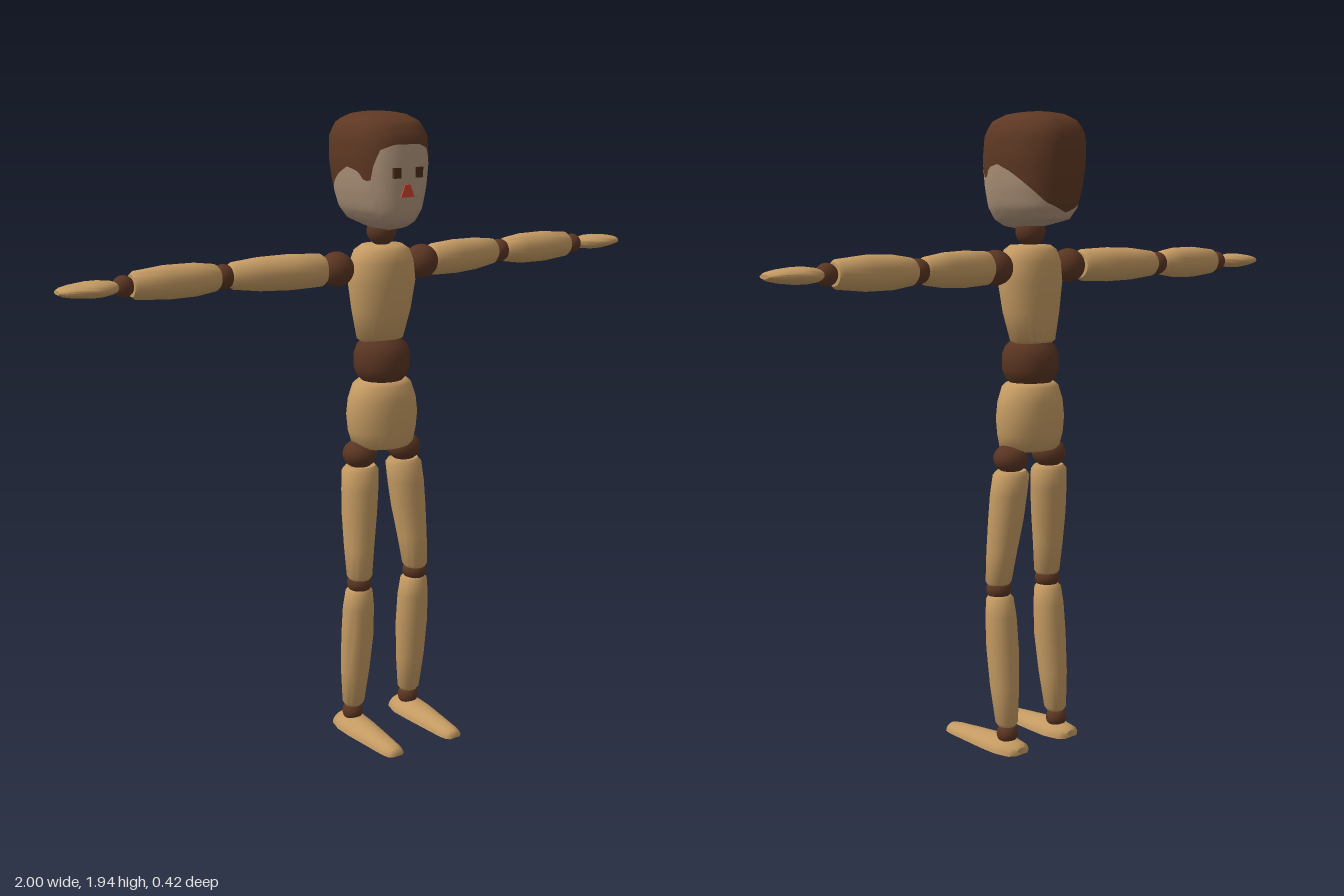
import * as THREE from 'three';
import { toCreasedNormals } from 'three/addons/utils/BufferGeometryUtils.js';

const paint = (name, color) => {
  const m = new THREE.MeshStandardMaterial({ color });
  m.name = name;
  return m;
};

function addMesh(parent, name, geometry, material) {
  const mesh = new THREE.Mesh(geometry, material);
  mesh.name = name;
  parent.add(mesh);
  return mesh;
}

// Triangles between closed rings of n points each
function ringFaces(rows, n) {
  const index = [];
  for (let i = 0; i < rows - 1; i++) for (let j = 0; j < n; j++) {
    const a = i * n + j, b = i * n + (j + 1) % n;
    index.push(a, a + n, b, b, a + n, b + n);
  }
  return index;
}

function toGeometry(points, index) {
  const g = new THREE.BufferGeometry();
  g.setAttribute('position', new THREE.Float32BufferAttribute(points, 3));
  g.setIndex(index);
  return g;
}

// Elliptical loft; rings are [cx, cy, cz, radius1, radius2], ascending along the axis.
// Radii run along x,z (axis y), z,y (axis x) or y,x (axis z).
function loft(axis, rings, floor = -1) {
  const n = 24, points = [];
  const [e1, e2] = { y: [0, 2], x: [2, 1], z: [1, 0] }[axis];
  const push = (p) => points.push(p[0], Math.max(p[1], floor), p[2]);
  for (const [x, y, z, r1, r2 = r1] of rings) for (let j = 0; j < n; j++) {
    const a = j / n * Math.PI * 2, p = [x, y, z];
    p[e1] += r1 * Math.cos(a);
    p[e2] += r2 * Math.sin(a);
    push(p);
  }
  const index = ringFaces(rings.length, n), last = (rings.length - 1) * n, c = rings.length * n;
  push(rings[0]);
  push(rings[rings.length - 1]);
  for (let j = 0; j < n; j++) {
    const k = (j + 1) % n;
    index.push(c, j, k, c + 1, last + k, last + j);
  }
  return toCreasedNormals(toGeometry(points, index), 0.8);
}

// Piecewise linear lookup of a value in rows of [key, value...]
function lookup(table, key, column = 1) {
  let i = 0;
  while (i < table.length - 2 && key > table[i + 1][0]) i++;
  const [a, b] = [table[i], table[i + 1]];
  return THREE.MathUtils.mapLinear(key, a[0], b[0], a[column], b[column]);
}

// Head: skin up to a hairline that varies around the skull, hair above it
function headGeometry() {
  // height, half width, front z, back z
  const profile = [
    [1.595, 0, 0, 0], [1.605, 0.05, 0.05, -0.08], [1.625, 0.075, 0.085, -0.175],
    [1.66, 0.1, 0.097, -0.195], [1.72, 0.118, 0.1, -0.205], [1.8, 0.13, 0.1, -0.212],
    [1.87, 0.128, 0.092, -0.21], [1.91, 0.11, 0.07, -0.188], [1.93, 0.075, 0.03, -0.15],
    [1.937, 0.04, -0.01, -0.11], [1.94, 0, -0.055, -0.055],
  ];
  // angle away from the front, height
  const hairline = [
    [0, 1.85], [0.25, 1.85], [0.6, 1.835], [0.78, 1.79], [0.88, 1.75], [1.05, 1.745],
    [1.2, 1.775], [1.47, 1.785], [2.5, 1.675], [Math.PI, 1.645],
  ];
  const heights = profile.map((p, i) => [p[0], i]), steps = profile.map((p, i) => [i, p[0]]);
  const n = 64, half = 14, top = profile.length - 1, points = [];
  const round = (v) => Math.sign(v) * Math.abs(v) ** 0.8;
  for (let i = 0; i <= 2 * half; i++) for (let j = 0; j < n; j++) {
    const a = j / n * Math.PI * 2;
    const edge = lookup(heights, lookup(hairline, Math.acos(Math.sin(a))));
    const s = i <= half ? edge * i / half : edge + (top - edge) * (i - half) / half;
    const y = lookup(steps, s);
    const [w, f, b] = [1, 2, 3].map((c) => lookup(profile, y, c));
    points.push(w * round(Math.cos(a)), y, (f + b) / 2 + (f - b) / 2 * round(Math.sin(a)));
  }
  const g = toGeometry(points, ringFaces(2 * half + 1, n));
  g.addGroup(0, half * n * 6, 0);
  g.addGroup(half * n * 6, half * n * 6, 1);
  g.computeVertexNormals();
  return g;
}

export function createModel() {
  const model = new THREE.Group();
  model.name = 'jointedFigure';
  const wood = paint('lightWood', 0xc49a62), joint = paint('darkWood', 0x5a3522);
  const hair = paint('hairBrown', 0x5e3823), skin = paint('skin', 0xae937a);
  const eyeColor = paint('eyeBrown', 0x4a2c1a), red = paint('noseRed', 0xc8432f);

  const ball = (name, x, y, z, r, ry = r) => {
    const m = addMesh(model, name, new THREE.SphereGeometry(r, 24, 16), joint);
    m.position.set(x, y, z);
    m.scale.y = ry / r;
  };

  // Head and face
  addMesh(model, 'head', headGeometry(), [skin, hair]);
  for (const s of [1, -1]) {
    const eye = addMesh(model, 'eye', new THREE.BoxGeometry(0.025, 0.03, 0.009), eyeColor);
    eye.position.set(s * 0.038, 1.77, 0.098);
  }
  const triangle = new THREE.Shape([[-0.023, 0], [0.023, 0], [0.009, 0.036], [-0.009, 0.036]]
    .map(([x, y]) => new THREE.Vector2(x, y)));
  const nose = addMesh(model, 'nose',
    new THREE.ExtrudeGeometry(triangle, { depth: 0.008, bevelEnabled: false }), red);
  nose.position.set(-0.004, 1.7, 0.096);

  // Torso
  ball('neck', 0, 1.59, -0.04, 0.045);
  addMesh(model, 'chest', loft('y', [
    [0, 1.255, -0.05, 0.062, 0.05], [0, 1.265, -0.05, 0.075, 0.062], [0, 1.35, -0.043, 0.095, 0.076],
    [0, 1.44, -0.04, 0.11, 0.083], [0, 1.5, -0.04, 0.103, 0.08], [0, 1.535, -0.04, 0.088, 0.072],
    [0, 1.55, -0.04, 0.065, 0.055],
  ]), wood);
  addMesh(model, 'waist', loft('y', [
    [0, 1.13, -0.04, 0.058], [0, 1.15, -0.04, 0.077], [0, 1.175, -0.04, 0.086],
    [0, 1.22, -0.04, 0.086], [0, 1.245, -0.04, 0.077], [0, 1.265, -0.04, 0.058],
  ]), joint);
  addMesh(model, 'pelvis', loft('y', [
    [0, 0.93, -0.035, 0.09, 0.072], [0, 0.94, -0.037, 0.102, 0.08], [0, 0.98, -0.04, 0.113, 0.086],
    [0, 1.03, -0.04, 0.118, 0.089], [0, 1.08, -0.04, 0.112, 0.086], [0, 1.125, -0.04, 0.095, 0.077],
    [0, 1.137, -0.04, 0.08, 0.065],
  ]), wood);

  for (const s of [1, -1]) {
    const side = s > 0 ? 'left' : 'right';
    const limb = (name, axis, rings, floor) => {
      const placed = rings.map(([x, ...rest]) => [x * s, ...rest]);
      if (axis === 'x' && s < 0) placed.reverse();
      addMesh(model, side + name, loft(axis, placed, floor), wood);
    };
    const bead = (name, x, ...rest) => ball(side + name, x * s, ...rest);

    // Arm
    bead('Shoulder', 0.153, 1.485, -0.05, 0.052);
    limb('UpperArm', 'x', [
      [0.193, 1.485, -0.06, 0.036, 0.04], [0.205, 1.485, -0.062, 0.045, 0.049],
      [0.3, 1.485, -0.077, 0.05, 0.053], [0.39, 1.485, -0.092, 0.047, 0.05],
      [0.47, 1.485, -0.106, 0.037, 0.04], [0.482, 1.485, -0.108, 0.028, 0.03],
    ]);
    bead('Elbow', 0.5, 1.485, -0.108, 0.036);
    limb('Forearm', 'x', [
      [0.517, 1.485, -0.108, 0.031], [0.527, 1.485, -0.108, 0.039], [0.59, 1.485, -0.107, 0.046, 0.048],
      [0.68, 1.485, -0.107, 0.046, 0.049], [0.775, 1.485, -0.107, 0.037, 0.04],
      [0.785, 1.485, -0.107, 0.03, 0.032],
    ]);
    bead('Wrist', 0.808, 1.485, -0.107, 0.031);
    limb('Hand', 'x', [
      [0.83, 1.485, -0.107, 0.022, 0.014], [0.845, 1.485, -0.107, 0.034, 0.019],
      [0.88, 1.485, -0.107, 0.052, 0.023], [0.91, 1.485, -0.107, 0.056, 0.023],
      [0.96, 1.485, -0.107, 0.045, 0.018], [0.985, 1.485, -0.107, 0.036, 0.013],
      [1, 1.485, -0.107, 0.02, 0.006],
    ]);

    // Leg
    bead('Hip', 0.082, 0.91, -0.04, 0.053, 0.045);
    limb('Thigh', 'y', [
      [0.105, 0.515, -0.008, 0.032], [0.105, 0.527, -0.009, 0.04], [0.1, 0.62, -0.018, 0.048, 0.046],
      [0.092, 0.72, -0.028, 0.056, 0.052], [0.086, 0.8, -0.034, 0.059, 0.054],
      [0.081, 0.86, -0.04, 0.058, 0.053], [0.08, 0.873, -0.04, 0.048, 0.043],
    ]);
    bead('Knee', 0.105, 0.502, -0.01, 0.039, 0.034);
    limb('Shin', 'y', [
      [0.107, 0.076, -0.047, 0.027], [0.107, 0.088, -0.046, 0.035], [0.106, 0.2, -0.036, 0.046, 0.044],
      [0.104, 0.32, -0.025, 0.052, 0.048], [0.104, 0.42, -0.018, 0.05, 0.046],
      [0.104, 0.475, -0.014, 0.043, 0.041], [0.104, 0.485, -0.013, 0.034, 0.033],
    ]);
    bead('Ankle', 0.108, 0.052, -0.05, 0.033);
    limb('Foot', 'z', [
      [0.109, 0, -0.115, 0.022, 0.025], [0.109, 0, -0.1, 0.033, 0.044], [0.109, 0, -0.05, 0.039, 0.055],
      [0.11, 0, 0.01, 0.039, 0.052], [0.11, 0, 0.09, 0.034, 0.044], [0.11, 0, 0.18, 0.027, 0.035],
      [0.11, 0, 0.203, 0.023, 0.028], [0.11, 0, 0.211, 0.014, 0.018],
    ], 0);
  }
  return model;
}
